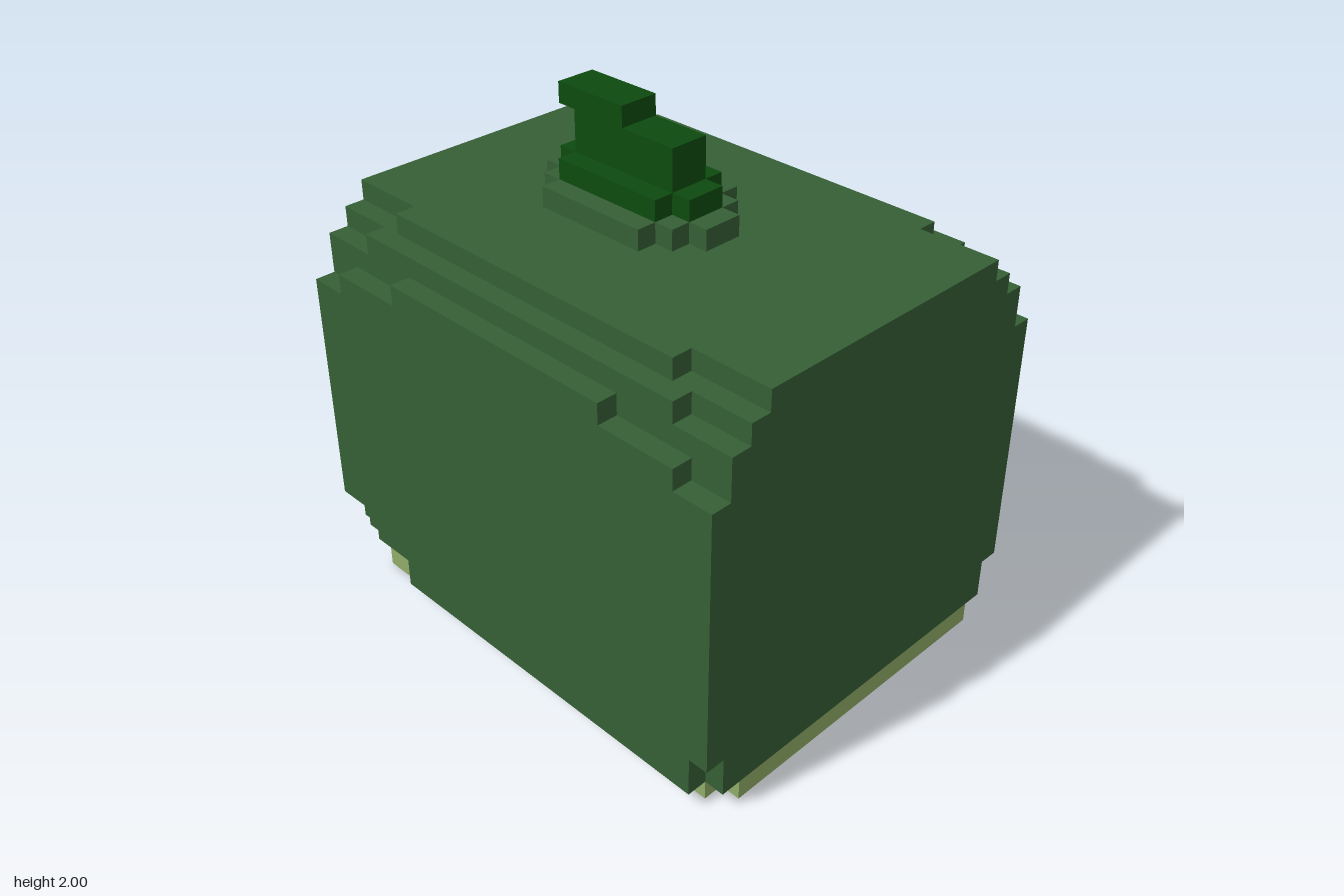
import * as THREE from 'three';

const bodyGreen = new THREE.MeshStandardMaterial({ color: 0x355f35 });
bodyGreen.name = 'leaf green';
const stemGreen = new THREE.MeshStandardMaterial({ color: 0x0d4b0f });
stemGreen.name = 'dark green';
const baseGreen = new THREE.MeshStandardMaterial({ color: 0x90ad69 });
baseGreen.name = 'pale green';

// Upright prism from a plan outline of [x, z] points.
function prism(name, outline, y0, y1, material) {
  const shape = new THREE.Shape(outline.map(([x, z]) => new THREE.Vector2(x, -z)));
  const geometry = new THREE.ExtrudeGeometry(shape, { depth: y1 - y0, bevelEnabled: false });
  geometry.rotateX(-Math.PI / 2);
  geometry.translate(0, y0, 0);
  const mesh = new THREE.Mesh(geometry, material);
  mesh.name = name;
  return mesh;
}

// Stepped slab, mirrored in x; bands run back to front as [halfWidth, zBack, zFront].
function slab(name, y0, y1, bands, material) {
  const side = bands.flatMap(([w, z0, z1]) => [[w, z0], [w, z1]]);
  const mirrored = side.map(([x, z]) => [-x, z]).reverse();
  return prism(name, [...side, ...mirrored], y0, y1, material);
}

// Bands for a layer that narrows beyond two z limits.
const stepped = (wide, narrow, z0, z1, back = -1) =>
  [[narrow, back, z0], [wide, z0, z1], [narrow, z1, 1]];

// Seam edge across the base: its middle is set one step back from its ends.
const seamEdge = (z) => [
  [-0.72, z], [-0.56, z], [-0.56, z - 0.08], [0.56, z - 0.08], [0.56, z], [0.72, z],
];

export function createModel() {
  const model = new THREE.Group();
  model.name = 'blockPod';

  // Body layers, bottom to top
  const body = new THREE.Group();
  body.name = 'body';
  const layers = [
    [0.08, 0.16, stepped(0.8, 0.72, -0.6, 0.92, -0.92)],
    [0.16, 0.24, stepped(0.8, 0.72, -0.6, 0.92)],
    [0.24, 0.32, [[0.72, -1, -0.84], [0.8, -0.84, 1]]],
    [0.32, 1.28, [[0.8, -1, 1]]],
    [1.28, 1.36, stepped(0.8, 0.72, -0.84, 0.84)],
    [1.36, 1.44, stepped(0.8, 0.72, -0.52, 0.52)],
    [1.44, 1.52, stepped(0.72, 0.64, -0.76, 0.76)],
    [1.52, 1.6, stepped(0.64, 0.56, -0.68, 0.68)],
  ];
  layers.forEach(([y0, y1, bands], i) =>
    body.add(slab(`bodyLayer${i + 1}`, y0, y1, bands, bodyGreen)));
  model.add(body);

  // Pale base panels, divided by four seams
  const base = new THREE.Group();
  base.name = 'base';
  const seams = [-0.52, -0.12, 0.28, 0.68];
  const backEdge = [[-0.72, -0.84], [0.72, -0.84]];
  const frontEdge = [
    [-0.72, 0.92], [-0.64, 0.92], [-0.64, 1], [0.64, 1], [0.64, 0.92], [0.72, 0.92],
  ];
  for (let i = 0; i <= seams.length; i++) {
    const back = i === 0 ? backEdge : seamEdge(seams[i - 1] + 0.08);
    const front = i === seams.length ? frontEdge : seamEdge(seams[i]);
    base.add(prism(`basePanel${i + 1}`, [...back, ...front.reverse()], 0, 0.08, baseGreen));
  }

  // Seam strips, flush with the base
  for (const z of seams) {
    for (const [x, width, offset] of [[0, 1.12, -0.04], [-0.64, 0.16, 0.04], [0.64, 0.16, 0.04]]) {
      const strip = new THREE.Mesh(new THREE.BoxGeometry(width, 0.08, 0.08), bodyGreen);
      strip.name = 'baseSeam';
      strip.position.set(x, 0.04, z + offset);
      base.add(strip);
    }
  }
  model.add(base);

  // Collar and bent stem
  const stem = new THREE.Group();
  stem.name = 'stem';
  stem.add(
    slab('stemCollar', 1.6, 1.68, [
      [0.08, -0.52, -0.44], [0.16, -0.44, -0.36], [0.24, -0.36, 0.12],
      [0.16, 0.12, 0.2], [0.08, 0.2, 0.28],
    ], bodyGreen),
    slab('stemFoot', 1.68, 1.76, [
      [0.08, -0.44, -0.36], [0.16, -0.36, 0.12], [0.08, 0.12, 0.2],
    ], stemGreen),
    slab('stemStalk', 1.76, 1.92, [[0.08, -0.36, 0.12]], stemGreen),
    slab('stemTip', 1.92, 2, [[0.08, -0.44, -0.12]], stemGreen),
  );
  model.add(stem);

  return model;
}
